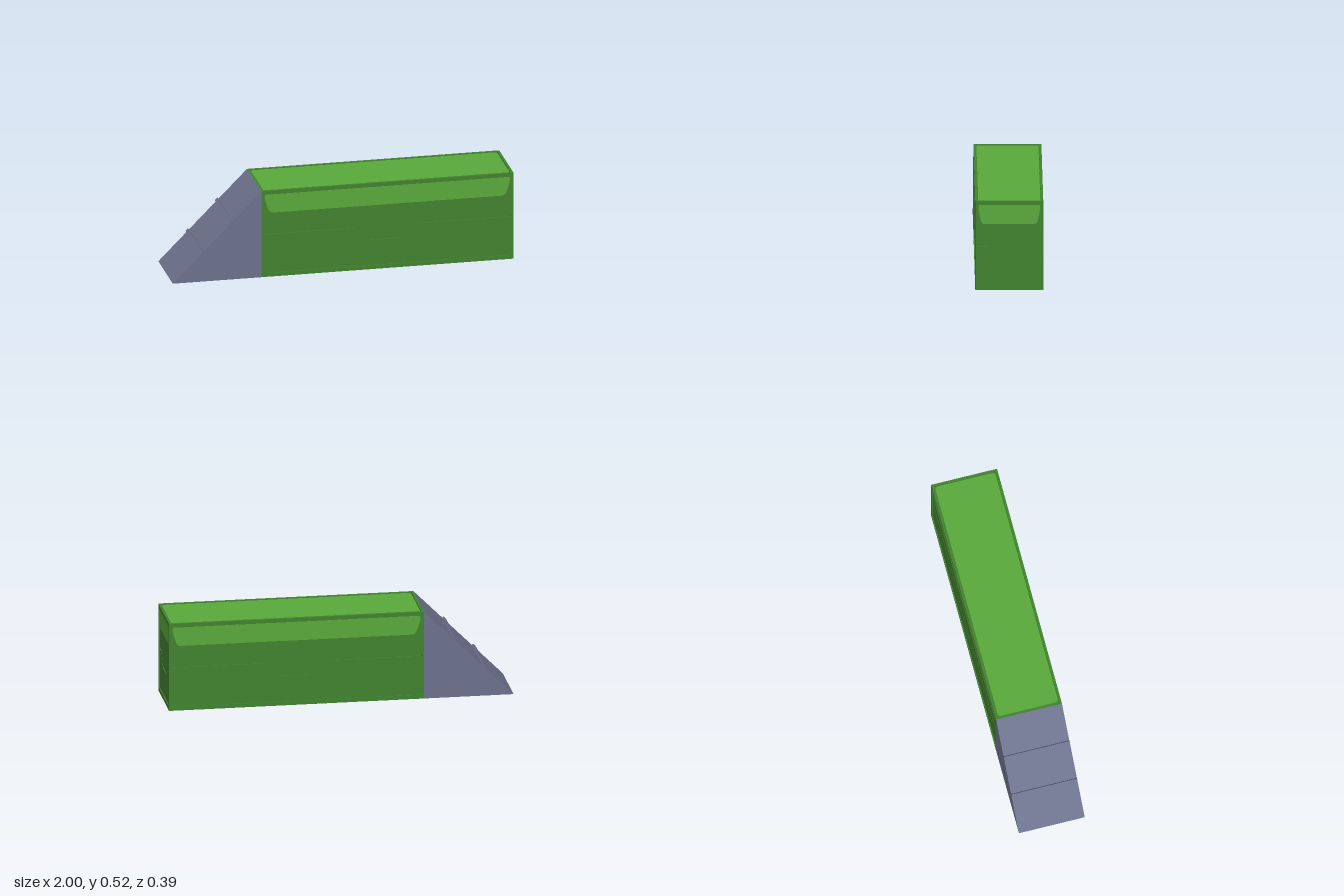
import * as THREE from 'three';

const H = 0.523, X0 = -0.48, X1 = 1, Z = 0.195, CX = (X0 + X1) / 2;

export function createModel() {
  const mat = (name, color) => {
    const m = new THREE.MeshStandardMaterial({ color });
    m.name = name;
    return m;
  };
  const dark = mat('dark green', 0x438430);
  const light = mat('light green', 0x5aab3c);
  const grey = mat('blue grey', 0x6e738e);

  const model = new THREE.Group();
  model.name = 'slopedBlock';

  const add = (parent, name, geometry, material, x = 0, y = 0, z = 0) => {
    const mesh = new THREE.Mesh(geometry, material);
    mesh.name = name;
    mesh.position.set(x, y, z);
    parent.add(mesh);
    return mesh;
  };
  const extrude = (points, depth) => new THREE.ExtrudeGeometry(
    new THREE.Shape(points.map(([x, y]) => new THREE.Vector2(x, y))),
    { depth, bevelEnabled: false });

  // Recessed core, whose underside is the bottom panel
  add(model, 'core', new THREE.BoxGeometry(X1 - X0 - 0.024, H - 0.018, 2 * Z - 0.024), dark, CX, H / 2, 0);

  // Frame bars along all twelve edges
  const frame = new THREE.Group();
  frame.name = 'frame';
  model.add(frame);
  const tx = 0.015, ty = 0.023, tz = 0.015;
  for (const a of [-1, 1]) for (const b of [-1, 1]) {
    add(frame, 'longBar', new THREE.BoxGeometry(X1 - X0, ty, tz), dark,
      CX, H / 2 + a * (H - ty) / 2, b * (Z - tz / 2));
    add(frame, 'uprightBar', new THREE.BoxGeometry(tx, H, tz), dark,
      CX + a * (X1 - X0 - tx) / 2, H / 2, b * (Z - tz / 2));
    add(frame, 'crossBar', new THREE.BoxGeometry(tx, ty, 2 * Z), dark,
      CX + a * (X1 - X0 - tx) / 2, H / 2 + b * (H - ty) / 2, 0);
  }

  // Wall panel: two plates parted by a dipped groove, with a light band on top
  const wall = (name, w, dipLow, dipHigh, inset) => {
    const g = new THREE.Group();
    g.name = name;
    const seam = (y) => [[-w, y], [-dipHigh, y], [-dipLow, y - 0.081],
      [dipLow, y - 0.081], [dipHigh, y], [w, y]];
    add(g, 'lowerPlate', extrude([...seam(0.256).reverse(), [-w, 0.023], [w, 0.023]], 0.006), dark);
    add(g, 'upperPlate', extrude([...seam(0.268), [w, 0.5], [-w, 0.5]], 0.006), dark);
    const half = [[w - 1.9 * inset, 0.387], [w - 1.2 * inset, 0.398], [w - 0.85 * inset, 0.42],
      [w - 0.3 * inset, 0.465], [w - 0.15 * inset, 0.49], [w - 0.4 * inset, 0.498]];
    const mirrored = half.map(([x, y]) => [-x, y]).reverse();
    add(g, 'lightBand', extrude([...half, ...mirrored], 0.002), light, 0, 0, 0.006);
    model.add(g);
    return g;
  };
  const longHalf = (X1 - X0) / 2 - tx;
  wall('frontPanel', longHalf, 0.1, 0.18, 0.026).position.set(CX, 0, Z - 0.012);
  const back = wall('backPanel', longHalf, 0.1, 0.18, 0.026);
  back.position.set(CX, 0, -Z + 0.012);
  back.rotation.y = Math.PI;
  const end = wall('endPanel', Z - tz, 0.065, 0.117, 0.016);
  end.position.set(X1 - 0.012, 0, 0);
  end.rotation.y = Math.PI / 2;

  // Light top panel with clipped corners
  const w = longHalf - 0.002, d = Z - tz - 0.002, c = 0.012;
  const top = add(model, 'topPanel', extrude([[-w, -d + c], [-w + c, -d], [w - c, -d], [w, -d + c],
    [w, d - c], [w - c, d], [-w + c, d], [-w, d - c]], 0.006), light, CX, H - 0.01, 0);
  top.rotation.x = -Math.PI / 2;

  // Sloped wedge with two thin ribs across it
  add(model, 'wedge', extrude([[-1, 0], [X0, 0], [X0, H]], 2 * Z), grey, 0, 0, -Z);
  const slope = Math.atan2(H, X0 + 1);
  for (const x of [-0.827, -0.655]) {
    const rib = add(model, 'rib', new THREE.BoxGeometry(0.02, 0.02, 2 * Z), grey,
      x, (x + 1) * Math.tan(slope), 0);
    rib.rotation.z = slope;
  }
  return model;
}
